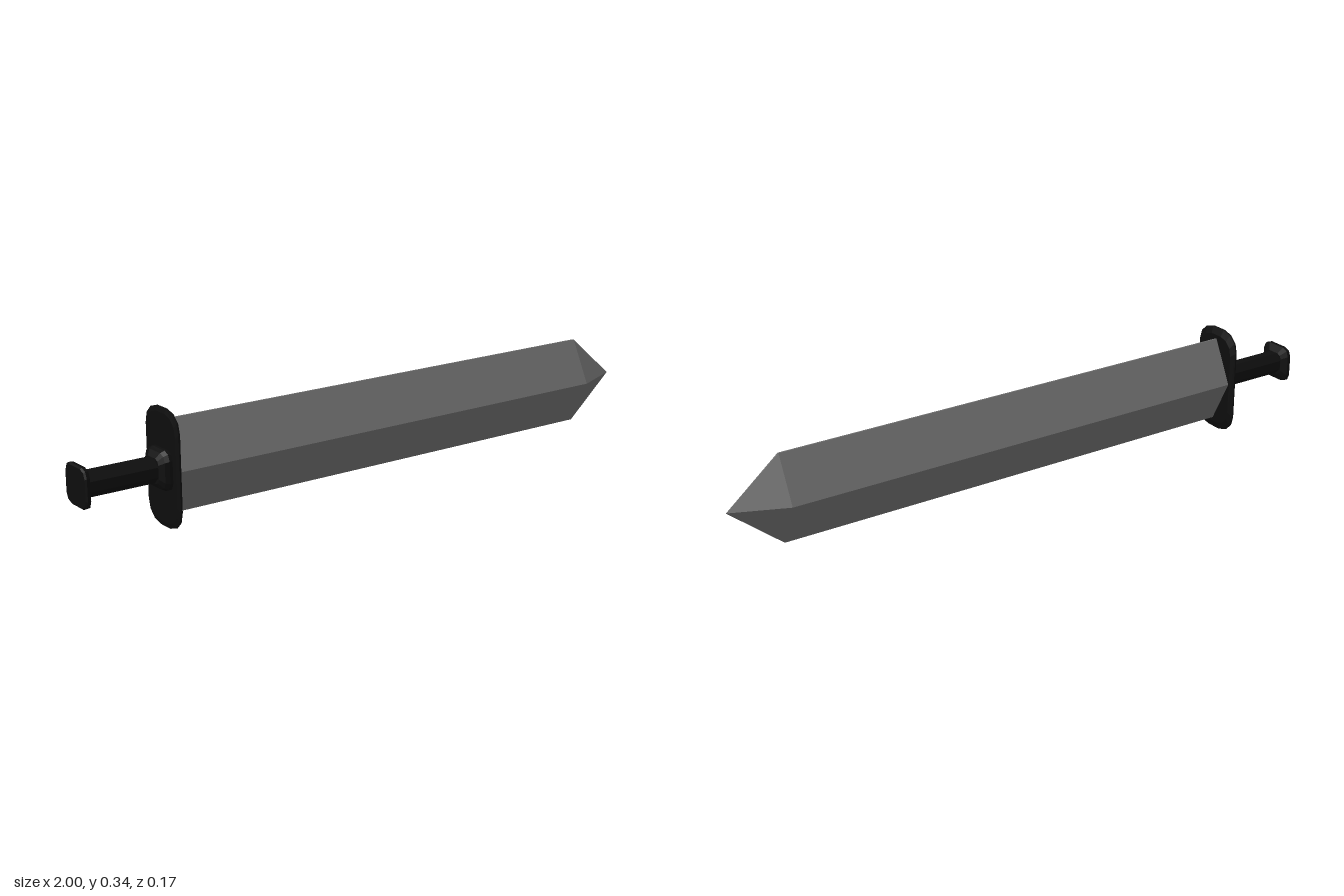
import * as THREE from 'three';

const AXIS_Y = 0.173;

// Skin a list of rings [x, halfHeight, halfDepth] that share one unit outline of [y, z] points.
function loft(outline, rings) {
  const pos = [];
  const n = outline.length;
  const point = ([x, h, d], j) => {
    const [y, z] = outline[j % n];
    return [x, AXIS_Y + y * h, z * d];
  };
  const tri = (a, b, c) => pos.push(...a, ...b, ...c);
  const first = rings[0], last = rings[rings.length - 1];
  for (let j = 0; j < n; j++) {
    for (let i = 0; i < rings.length - 1; i++) {
      const a = point(rings[i], j), b = point(rings[i], j + 1);
      const c = point(rings[i + 1], j), d = point(rings[i + 1], j + 1);
      tri(a, b, c);
      tri(b, d, c);
    }
    // End caps
    tri([first[0], AXIS_Y, 0], point(first, j + 1), point(first, j));
    tri([last[0], AXIS_Y, 0], point(last, j), point(last, j + 1));
  }
  const geometry = new THREE.BufferGeometry();
  geometry.setAttribute('position', new THREE.Float32BufferAttribute(pos, 3));
  geometry.computeVertexNormals();
  return geometry;
}

// Mirror a quarter outline, running from +y towards +z, into a full loop.
function mirrorQuarter(quarter) {
  const back = [...quarter].reverse();
  return [
    ...quarter,
    ...back.map(([y, z]) => [-y, z]),
    ...quarter.map(([y, z]) => [-y, -z]),
    ...back.map(([y, z]) => [y, -z]),
  ];
}

export function createModel() {
  const model = new THREE.Group();
  const steel = new THREE.MeshStandardMaterial({ color: 0x6b6b6b });
  steel.name = 'steel';
  const black = new THREE.MeshStandardMaterial({ color: 0x0d0d0d });
  black.name = 'black';

  const add = (name, geometry, material) => {
    const mesh = new THREE.Mesh(geometry, material);
    mesh.name = name;
    model.add(mesh);
  };

  // Blade: diamond section with narrow blunted edges, drawn to a point
  const diamond = [[1, 0.04], [0, 1], [-1, 0.04], [-1, -0.04], [0, -1], [1, -0.04]];
  add('blade', loft(diamond, [[-0.725, 0.137, 0.07], [0.835, 0.137, 0.07], [1, 0, 0]]), steel);

  // Guard: thin plate with rounded corners
  const guardOutline = mirrorQuarter([[1, 0.3], [0.945, 0.66], [0.82, 0.91], [0.64, 1]]);
  add('guard', loft(guardOutline, [
    [-0.736, 0.158, 0.076], [-0.732, 0.172, 0.0875], [-0.727, 0.172, 0.0875], [-0.719, 0.15, 0.072],
  ]), black);

  // Collar and pommel: small rounded blocks flaring from the grip
  const blockOutline = mirrorQuarter([[1, 0.55], [0.87, 0.87], [0.55, 1]]);
  add('collar', loft(blockOutline, [
    [-0.768, 0.036, 0.036], [-0.757, 0.052, 0.052], [-0.745, 0.058, 0.058], [-0.733, 0.058, 0.058],
  ]), black);
  add('pommel', loft(blockOutline, [
    [-1, 0.054, 0.054], [-0.996, 0.059, 0.059], [-0.986, 0.058, 0.058], [-0.975, 0.036, 0.036],
  ]), black);

  // Grip: straight eight-sided handle
  const octagon = mirrorQuarter([[1, 0.41], [0.41, 1]]);
  add('grip', loft(octagon, [[-0.99, 0.035, 0.035], [-0.74, 0.035, 0.035]]), black);

  return model;
}
